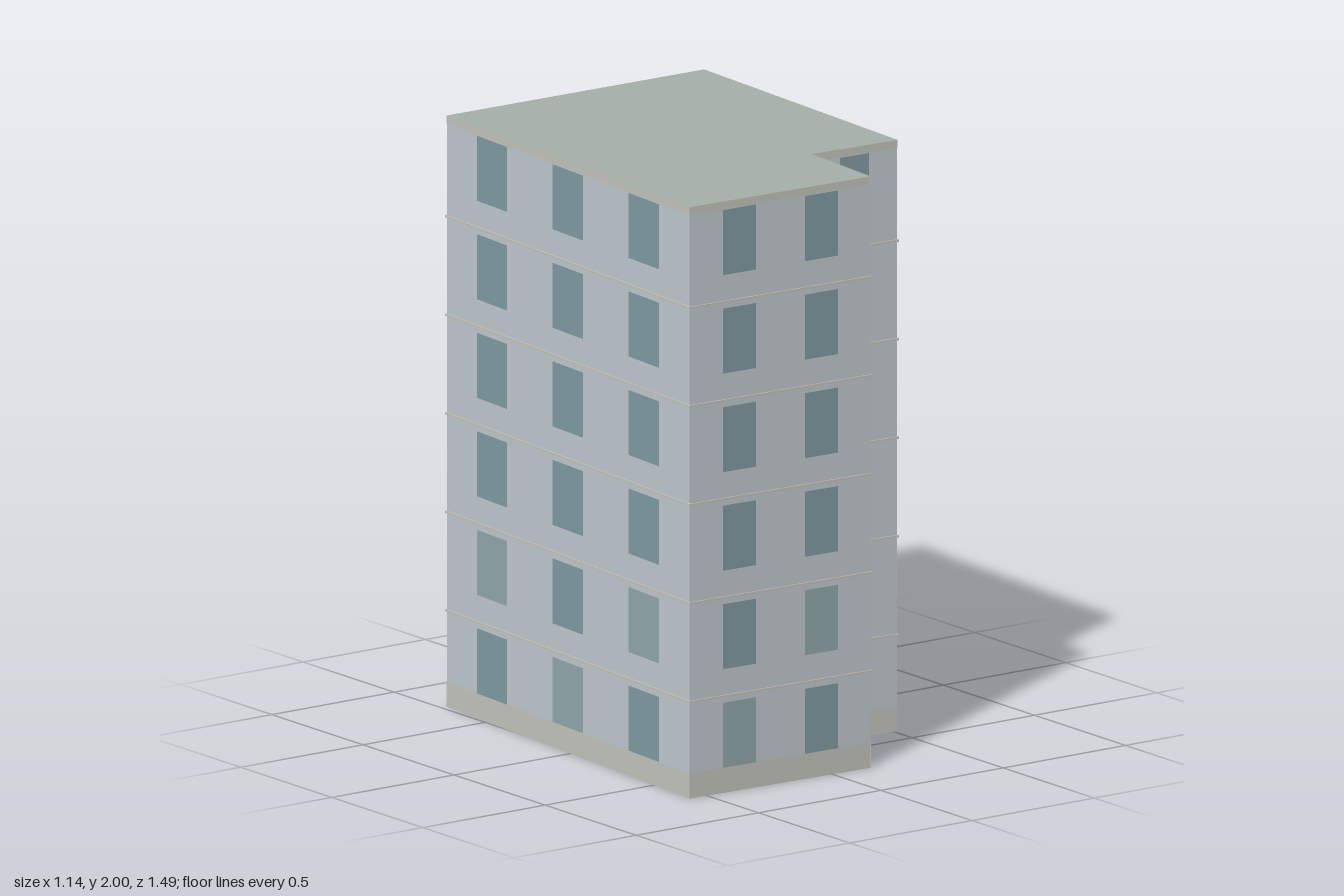
import * as THREE from 'three';

const HEIGHT = 2, FLOORS = 6, FLOOR_H = HEIGHT / FLOORS;

// Footprint corners [x, z], with the outside on the right of each run, and windows per floor
const FOOTPRINT = [
  { name: 'frontWing', at: [-0.567, 0.712], columns: 2 },
  { name: 'notchSide', at: [0.153, 0.737], columns: 1 },
  { name: 'notchFront', at: [0.174, 0.384], columns: 1 },
  { name: 'leftSide', at: [0.513, 0.4], columns: 3 },
  { name: 'back', at: [0.564, -0.728], columns: 3 },
  { name: 'rightSide', at: [-0.478, -0.74], columns: 3 },
];

const paint = (color) => {
  const material = new THREE.MeshStandardMaterial({ side: THREE.DoubleSide });
  material.color.set(color);
  return material;
};

export function createModel() {
  const model = new THREE.Group();
  model.name = 'apartmentBlock';
  const wallPaint = paint(0xc6ced4), trimPaint = paint(0xc8c9c0), roofPaint = paint(0xa8b0aa);
  const glassPaint = paint(0x839fa6), paleGlassPaint = paint(0x94adb0);

  // Flat panel on a facade, given its centre, size and distance in front of the wall
  const panel = (parent, name, x, y, w, h, z, material) => {
    const mesh = new THREE.Mesh(new THREE.PlaneGeometry(w, h), material);
    mesh.name = name;
    mesh.position.set(x, y, z);
    parent.add(mesh);
  };

  FOOTPRINT.forEach(({ name, at: [ax, az], columns }, side) => {
    const [bx, bz] = FOOTPRINT[(side + 1) % FOOTPRINT.length].at;
    const length = Math.hypot(bx - ax, bz - az);

    // Facade: local x runs along the wall, local z points outwards
    const facade = new THREE.Group();
    facade.name = name + 'Facade';
    facade.position.set(ax, 0, az);
    facade.rotation.y = Math.atan2(az - bz, bx - ax);
    model.add(facade);

    panel(facade, 'wall', length / 2, HEIGHT / 2, length, HEIGHT, 0, wallPaint);
    panel(facade, 'plinth', length / 2, 0.043, length, 0.086, 0.0015, trimPaint);
    panel(facade, 'cornice', length / 2, HEIGHT - 0.013, length, 0.026, 0.0015, trimPaint);

    // Margins equal one window width, gaps one and a half
    const w = length / (2 + columns + 1.5 * (columns - 1));
    for (let floor = 0; floor < FLOORS; floor++) {
      for (let c = 0; c < columns; c++) {
        const pale = floor < 2 && (side + c + floor) % 2 === 0;
        panel(facade, 'window', w * (1.5 + 2.5 * c), floor * FLOOR_H + 0.195, w, 0.22, 0.002,
          pale ? paleGlassPaint : glassPaint);
      }
      // Slim string course between floors
      if (floor > 0) {
        const band = new THREE.Mesh(new THREE.BoxGeometry(length + 0.008, 0.008, 0.008), trimPaint);
        band.name = 'floorBand';
        band.position.set(length / 2, floor * FLOOR_H - 0.007, 0);
        facade.add(band);
      }
    }
  });

  // Flat roof
  const outline = new THREE.Shape(FOOTPRINT.map(({ at: [x, z] }) => new THREE.Vector2(x, -z)));
  const roof = new THREE.Mesh(new THREE.ShapeGeometry(outline).rotateX(-Math.PI / 2), roofPaint);
  roof.name = 'roof';
  roof.position.y = HEIGHT;
  model.add(roof);

  return model;
}
